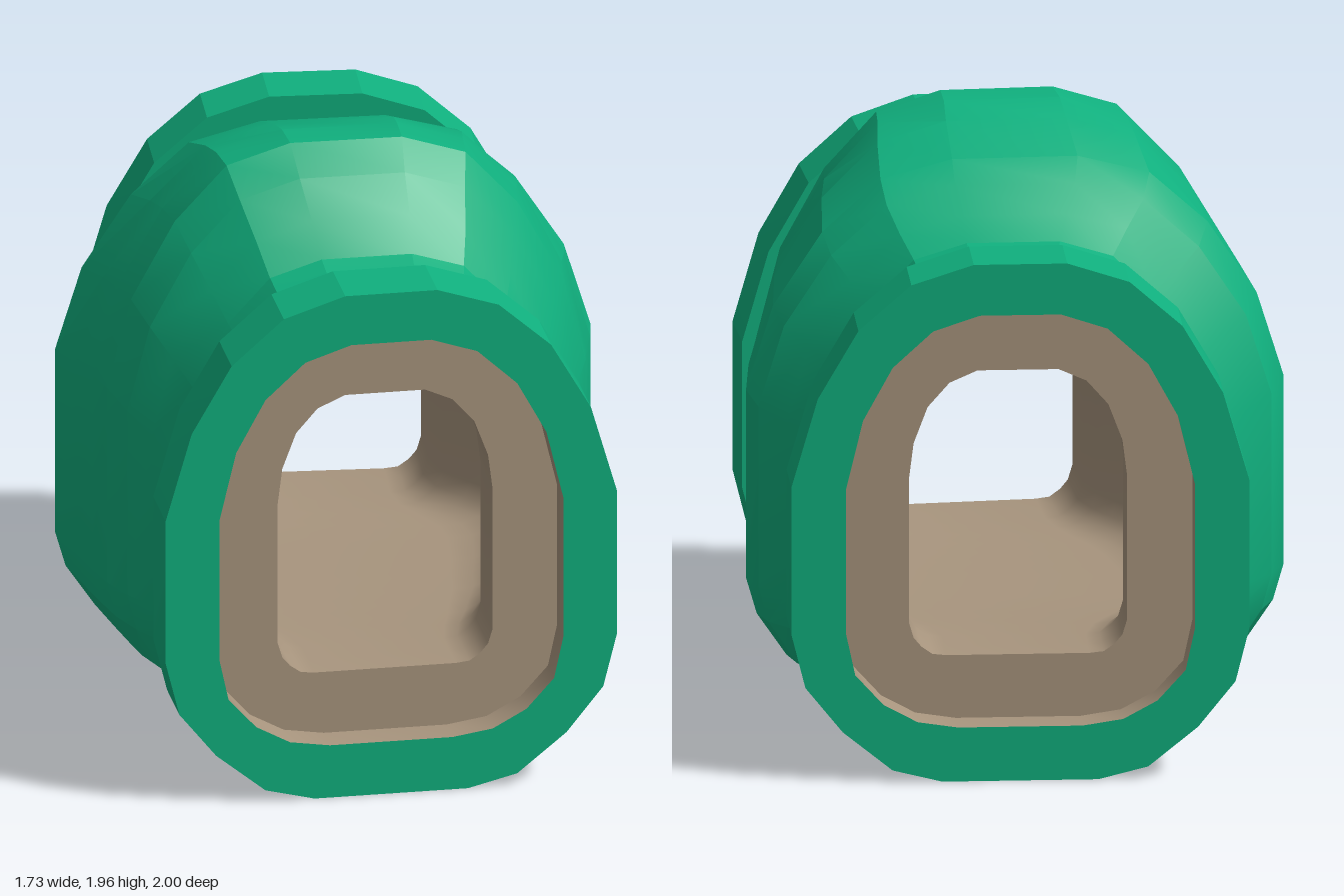
import * as THREE from 'three';
import { toCreasedNormals } from 'three/addons/utils/BufferGeometryUtils.js';

// Right halves of the closed outlines, listed from top to bottom as [x, y]
const COLLAR = [[0.15, 1.725], [0.35, 1.66], [0.52, 1.51], [0.65, 1.285], [0.735, 0.99],
  [0.735, 0.5], [0.69, 0.32], [0.57, 0.17], [0.41, 0.04], [0.25, 0]];
const RECESS = [[0.13, 1.555], [0.28, 1.505], [0.41, 1.385], [0.505, 1.21], [0.56, 0.98],
  [0.56, 0.5], [0.53, 0.36], [0.44, 0.26], [0.33, 0.2], [0.2, 0.18]];
const OPENING = [[0.13, 1.34], [0.22, 1.3], [0.29, 1.22], [0.335, 1.1], [0.35, 0.98],
  [0.35, 0.5], [0.335, 0.45], [0.31, 0.42], [0.275, 0.395], [0.23, 0.39]];
const SHELL = [[0.14, 1.62], [0.3, 1.57], [0.43, 1.43], [0.54, 1.23], [0.6, 1.0],
  [0.6, 0.48], [0.576, 0.36], [0.51, 0.22], [0.41, 0.15], [0.24, 0.13]];

// Stations along the passage, front to back: z, centre x, turn, half width, top
const STATIONS = [
  [0.78, 0, 0, 0.6, 1.62],
  [0.67, 0, 0, 0.6, 1.645],
  [0.565, 0, 0.01, 0.63, 1.68],
  [0.46, 0, 0.015, 0.68, 1.77],
  [0.36, -0.01, 0.02, 0.73, 1.88],
  [0.25, -0.01, 0.03, 0.775, 1.96],
  [0.13, -0.01, 0.03, 0.8, 1.96],
  [0, -0.005, 0.035, 0.83, 1.93],
  [-0.195, -0.005, 0.05, 0.865, 1.86],
  [-0.3, 0.01, 0.06, 0.825, 1.8],
  [-0.4, 0.03, 0.067, 0.73, 1.73],
  [-0.505, 0.045, 0.075, 0.64, 1.67],
  [-0.615, 0.06, 0.083, 0.6, 1.65],
  [-0.727, 0.07, 0.089, 0.6, 1.62],
];

// Mirror an outline, scale it (height only above the sill) and stand it at a station
function ring(half, [z, cx, turn], sx = 1, sy = 1) {
  const mirrored = half.map(([x, y]) => [-x, y]).reverse();
  return [...half, ...mirrored].map(([x, y]) => new THREE.Vector3(
    cx + x * sx * Math.cos(turn),
    y > 0.5 ? 0.5 + (y - 0.5) * sy : y,
    z + x * sx * Math.sin(turn)));
}

// Skin a row of rings
function loft(name, rings, material, crease) {
  const points = [];
  for (let i = 0; i < rings.length - 1; i++) {
    const p = rings[i], q = rings[i + 1], n = p.length;
    for (let j = 0; j < n; j++) {
      const k = (j + 1) % n;
      points.push(p[j], p[k], q[j], p[k], q[k], q[j]);
    }
  }
  const geometry = new THREE.BufferGeometry().setFromPoints(points);
  const mesh = new THREE.Mesh(toCreasedNormals(geometry, crease), material);
  mesh.name = name;
  return mesh;
}

export function createModel() {
  const group = new THREE.Group();
  group.name = 'bulgingPassage';
  const green = new THREE.MeshStandardMaterial({ color: 0x10b07e });
  green.name = 'green';
  const beige = new THREE.MeshStandardMaterial({ color: 0xa8957e });
  beige.name = 'beige';

  const outer = STATIONS.map(s => ring(SHELL, s, s[3] / 0.6, (s[4] - 0.5) / 1.12));
  const inner = STATIONS.map(s => ring(OPENING, s, (s[3] - 0.25) / 0.35, (s[4] - 0.78) / 0.84));

  // Collar faces and recess floors at either end
  const frontFace = [1, 0, 0], frontFloor = [0.89, 0, 0], frontBack = STATIONS[0];
  const rearFace = [-0.935, 0.085, 0.089], rearFloor = [-0.826, 0.077, 0.089];
  const rearBack = STATIONS[STATIONS.length - 1];

  // Bulging outer shell
  group.add(loft('outerShell', outer, green, 0.28));

  // End collars
  group.add(loft('frontCollar', [ring(RECESS, frontFace), ring(COLLAR, frontFace),
    ring(COLLAR, frontBack), outer[0]], green, 0.28));
  group.add(loft('rearCollar', [outer[outer.length - 1], ring(COLLAR, rearBack),
    ring(COLLAR, rearFace), ring(RECESS, rearFace)], green, 0.28));

  // Recessed rims and hollow interior, back to front so the faces look inward
  group.add(loft('rearRim', [ring(RECESS, rearFace), ring(RECESS, rearFloor),
    ring(OPENING, rearFloor)], beige, 0.6));
  group.add(loft('innerWall', [ring(OPENING, rearFloor), ...inner.reverse(),
    ring(OPENING, frontFloor)], beige, 0.7));
  group.add(loft('frontRim', [ring(OPENING, frontFloor), ring(RECESS, frontFloor),
    ring(RECESS, frontFace)], beige, 0.6));

  return group;
}
